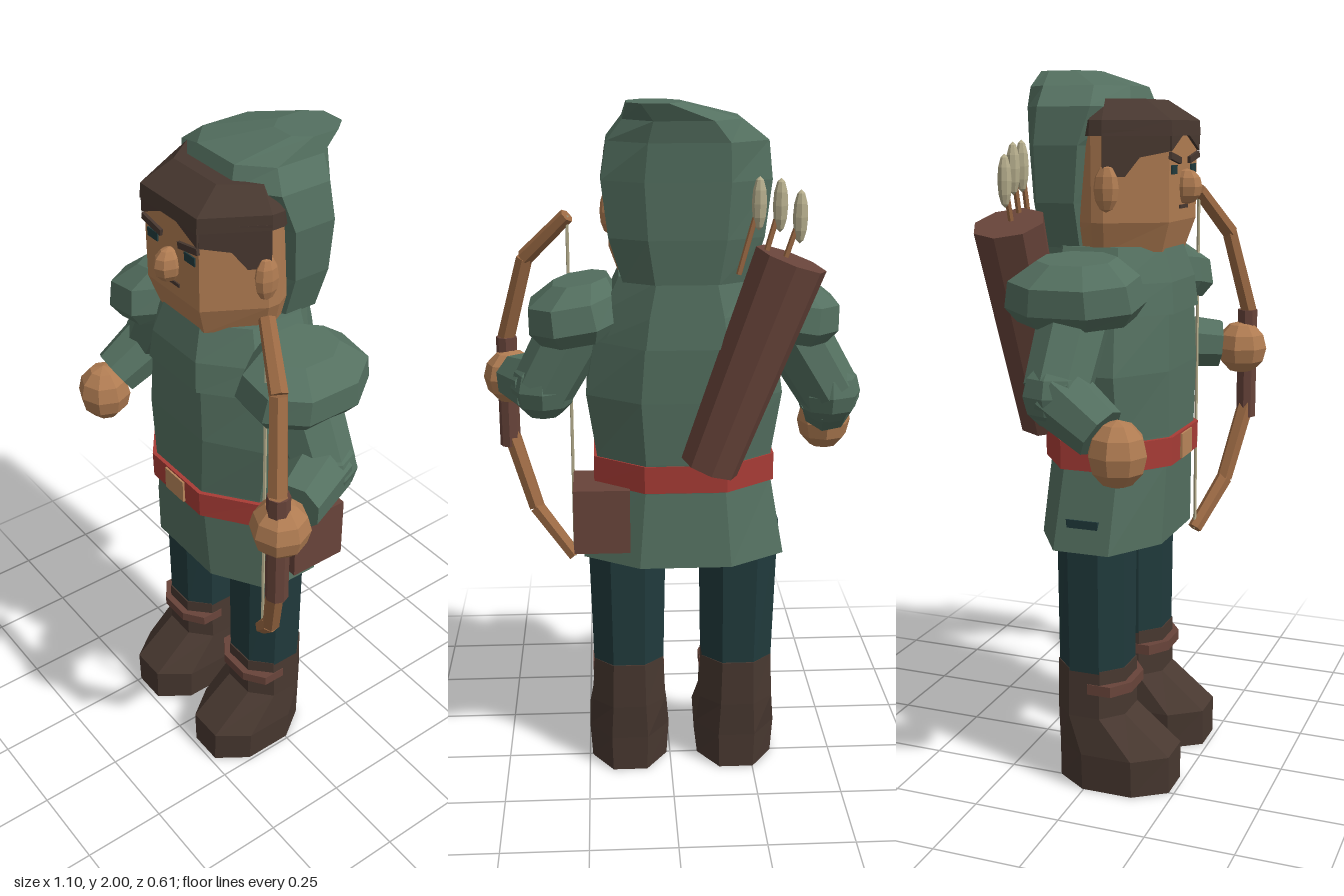
import * as THREE from 'three';

const V = (x, y, z) => new THREE.Vector3(x, y, z);
const C = -0.037; // x of the body's centre line

// Octagonal cross-sections, each [y, centreX, centreZ, halfWidth, halfDepth], joined and capped.
function loft(rings, kx = 0.45, kz = 0.45) {
  const outline = [[1, kz], [kx, 1], [-kx, 1], [-1, kz], [-1, -kz], [-kx, -1], [kx, -1], [1, -kz]];
  const pos = [], idx = [], last = rings.length - 1;
  for (const [y, cx, cz, w, d] of rings)
    for (const [u, v] of outline) pos.push(cx + u * w, y, cz + v * d);
  for (let i = 0; i < last; i++)
    for (let j = 0; j < 8; j++) {
      const a = i * 8 + j, b = i * 8 + (j + 1) % 8;
      idx.push(a, a + 8, b, b, a + 8, b + 8);
    }
  for (let j = 1; j < 7; j++) {
    idx.push(0, j, j + 1);
    idx.push(last * 8, last * 8 + j + 1, last * 8 + j);
  }
  const g = new THREE.BufferGeometry();
  g.setAttribute('position', new THREE.Float32BufferAttribute(pos, 3));
  g.setIndex(idx);
  return g;
}

// Faceted tapering rod from a to b.
function rod(a, b, ra, rb = ra, sides = 8) {
  const dir = b.clone().sub(a);
  const g = new THREE.CylinderGeometry(rb, ra, dir.length(), sides);
  g.applyQuaternion(new THREE.Quaternion().setFromUnitVectors(V(0, 1, 0), dir.normalize()));
  const m = a.clone().add(b).multiplyScalar(0.5);
  return g.translate(m.x, m.y, m.z);
}

const ball = (p, rx, ry, rz, w = 8, h = 6) =>
  new THREE.SphereGeometry(1, w, h).scale(rx, ry, rz).translate(p.x, p.y, p.z);

const box = (w, h, d, x, y, z, rz = 0) =>
  new THREE.BoxGeometry(w, h, d).rotateZ(rz).translate(x, y, z);

const plate = (points) => new THREE.ExtrudeGeometry(
  new THREE.Shape(points.map(([x, y]) => new THREE.Vector2(x, y))), { depth: 0.008, bevelEnabled: false });

export function createModel() {
  const material = (name, color) => {
    const m = new THREE.MeshStandardMaterial({ color });
    m.name = name;
    return m;
  };
  const green = material('green cloth', 0x547060);
  const teal = material('dark teal cloth', 0x203a3c);
  const skin = material('skin', 0xb07c52);
  const dark = material('dark brown', 0x483830);
  const leather = material('leather', 0x68443a);
  const wood = material('bow wood', 0x9c6a44);
  const red = material('red belt', 0xa83c36);
  const tan = material('tan metal', 0xb8855a);
  const cream = material('cream', 0xb5ad8c);

  const root = new THREE.Group();
  root.name = 'archer';
  const add = (name, geometry, mat) => {
    const g = geometry.index ? geometry.toNonIndexed() : geometry;
    g.computeVertexNormals(); // flat facets
    const mesh = new THREE.Mesh(g, mat);
    mesh.name = name;
    root.add(mesh);
    return mesh;
  };

  // Legs and boots
  for (const s of [-1, 1]) {
    const x = C + s * 0.163;
    add('trouserLeg', loft([[0.34, x, 0, 0.104, 0.098], [0.8, x + s * 0.002, 0, 0.114, 0.1]]), teal);
    add('boot', loft([[0, x, 0.07, 0.115, 0.165], [0.11, x, 0.07, 0.122, 0.165],
      [0.22, x, 0, 0.11, 0.102], [0.36, x, 0, 0.104, 0.102]]), dark);
    add('bootStrap', loft([[0.29, x, 0.045, 0.109, 0.077], [0.32, x, 0.045, 0.108, 0.077]]), leather);
  }

  // Tunic, belt and collar
  add('tunicSkirt', loft([[0.71, C, 0, 0.29, 0.18], [0.94, C, 0.015, 0.25, 0.172]]), green);
  add('tunicBody', loft([[0.93, C, 0.015, 0.245, 0.178], [1.02, C, 0.01, 0.248, 0.183],
    [1.2, C, 0.005, 0.275, 0.19], [1.36, C, 0, 0.25, 0.19], [1.5, C, 0, 0.18, 0.16]]), green);
  add('collar', loft([[1.355, C, 0, 0.245, 0.203], [1.44, C, 0, 0.222, 0.195],
    [1.535, C, -0.01, 0.18, 0.175]]), green);
  add('belt', loft([[0.935, C, 0.015, 0.257, 0.188], [1.015, C, 0.015, 0.257, 0.19]]), red);
  add('buckle', box(0.088, 0.07, 0.009, C, 0.975, 0.206), tan);

  // Pouch on the left hip
  add('pouch', box(0.16, 0.19, 0.175, 0.2, 0.845, -0.07), leather);
  add('pouchClasp', box(0.075, 0.045, 0.02, 0.235, 0.91, 0.025), tan);

  // Shoulder pads
  for (const s of [-1, 1]) {
    const pad = loft([[-0.08, 0, 0, 0.105, 0.15], [-0.04, 0, 0, 0.13, 0.178],
      [0.03, 0, 0, 0.12, 0.165], [0.075, -s * 0.03, 0, 0.075, 0.1]]);
    pad.rotateZ(-s * 0.16).translate(C + s * 0.305, 1.435, -0.005);
    add('shoulderPad', pad, green);
  }

  // Arms: shoulder, elbow, wrist, hand
  const arms = [
    ['right', V(-0.31, 1.42, 0), V(-0.455, 1.18, -0.01), V(-0.475, 1.09, 0.12), V(-0.475, 1.04, 0.165), 0.09],
    ['left', V(0.24, 1.42, 0), V(0.36, 1.2, 0), V(0.438, 1.185, 0.16), V(0.467, 1.172, 0.225), 0.083],
  ];
  for (const [side, shoulder, elbow, wrist, hand, h] of arms) {
    add(side + 'UpperArm', rod(shoulder, elbow, 0.1, 0.09), green);
    add(side + 'Elbow', ball(elbow, 0.093, 0.093, 0.093), green);
    add(side + 'Forearm', rod(elbow, wrist, 0.09, 0.075), green);
    add(side + 'Hand', ball(hand, 0.081, h, 0.08), skin);
  }

  // Head
  add('head', loft([[1.52, C, 0.01, 0.175, 0.155], [1.6, C, 0.02, 0.205, 0.17],
    [1.86, C, 0.02, 0.21, 0.17]], 0.57, 0.1), skin);
  add('nose', ball(V(C, 1.69, 0.2), 0.033, 0.048, 0.045), skin);
  add('mouth', box(0.065, 0.01, 0.008, C, 1.637, 0.19), dark);
  add('hair', loft([[1.825, C, 0.02, 0.218, 0.18], [1.865, C, 0.02, 0.215, 0.177],
    [1.92, C, 0.015, 0.16, 0.1]], 0.57, 0.1), dark);
  for (const s of [-1, 1]) {
    add('ear', ball(V(C + s * 0.205, 1.69, 0.045), 0.024, 0.062, 0.036), skin);
    add('eye', box(0.045, 0.024, 0.008, C + s * 0.082, 1.737, 0.19), teal);
    add('eyebrow', box(0.085, 0.018, 0.009, C + s * 0.08, 1.767, 0.194, s * 0.18), dark);
    add('fringe', plate([[0, 1.84], [s * 0.03, 1.825], [s * 0.122, 1.785], [s * 0.122, 1.84]])
      .translate(C, 0, 0.19), dark);
    const lock = plate([[0, 1.84], [0, 1.785], [s * 0.08, 1.77], [s * 0.12, 1.72],
      [s * 0.18, 1.72], [s * 0.18, 1.84]]);
    add('temple', lock.rotateY(s * 1.04).translate(C + s * 0.119, 0, 0.19), dark);
  }

  // Hood with its tip swept up and back
  add('hood', loft([[1.53, C, -0.095, 0.17, 0.1], [1.65, C, -0.1, 0.207, 0.108],
    [1.8, C, -0.09, 0.225, 0.125], [1.9, C - 0.003, -0.07, 0.212, 0.15],
    [1.955, C + 0.012, -0.085, 0.155, 0.145], [2, 0.05, -0.17, 0.07, 0.08]], 0.5, 0.5), green);

  // Quiver and arrows
  const mouth = V(-0.31, 1.6, -0.205), base = V(-0.1, 1.02, -0.19);
  add('quiver', rod(base, mouth, 0.082, 0.1), leather);
  [[-0.33, 1.71], [-0.277, 1.74], [-0.222, 1.745]].forEach(([x, y]) => {
    add('arrowShaft', rod(V(x + 0.05, 1.56, -0.205), V(x, y, -0.205), 0.008, 0.008, 5), wood);
    add('fletching', ball(V(x, y, -0.205), 0.02, 0.07, 0.02), cream);
  });

  // Bow held in the left hand
  const limb = [V(0.285, 1.665, 0.135), V(0.412, 1.535, 0.195), V(0.477, 1.29, 0.243),
    V(0.477, 1, 0.243), V(0.4, 0.76, 0.195), V(0.285, 0.62, 0.135)];
  const radii = [0.022, 0.025, 0.027, 0.027, 0.025, 0.022];
  for (let i = 0; i < 5; i++)
    add('bowLimb', rod(limb[i], limb[i + 1], radii[i], radii[i + 1], 6), wood);
  add('bowGrip', rod(V(0.477, 0.95, 0.24), V(0.477, 1.29, 0.24), 0.031, 0.031, 8), leather);
  add('bowString', rod(limb[5], limb[0], 0.005, 0.005, 5), cream);

  return root;
}
